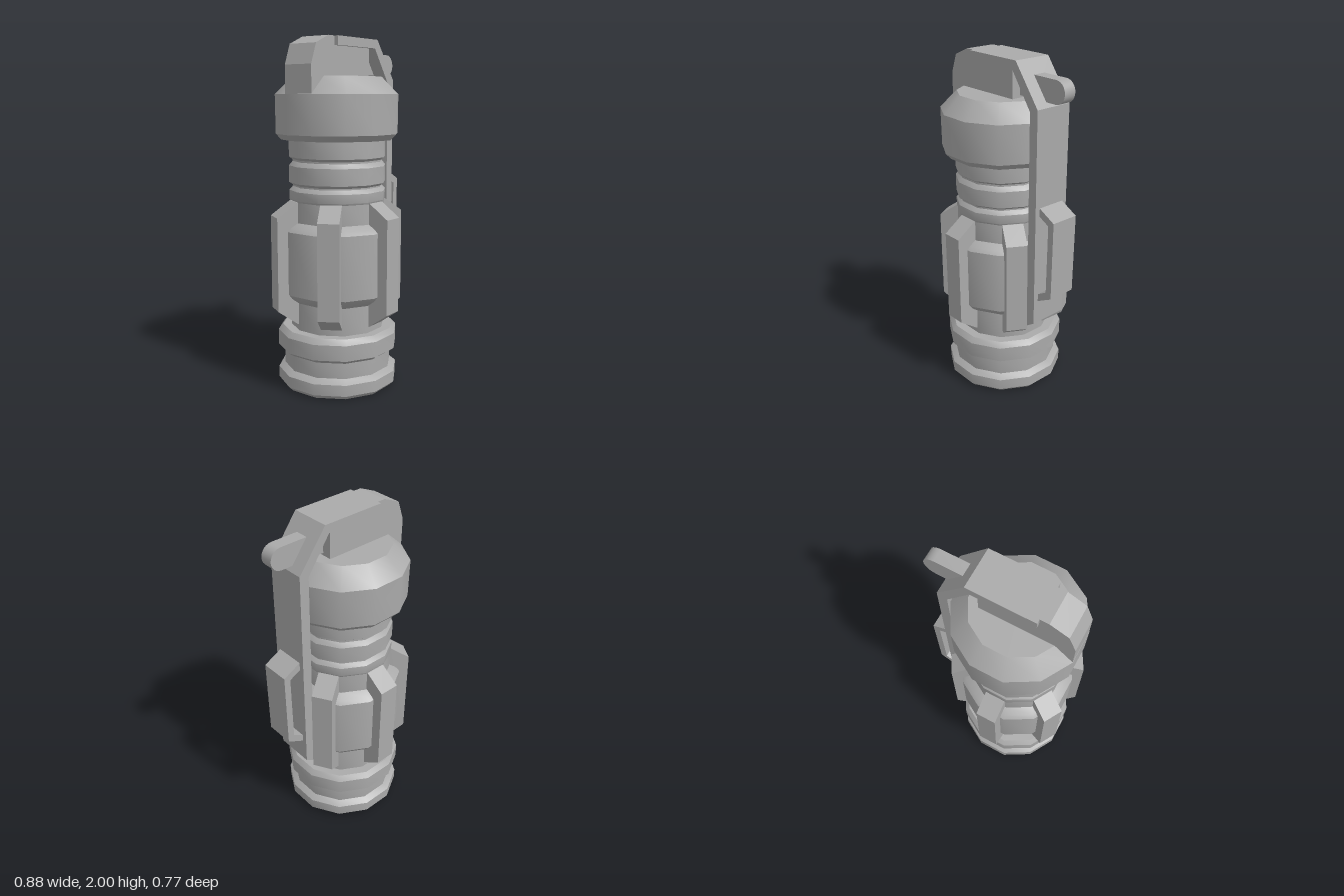
import * as THREE from 'three';
import { toCreasedNormals } from 'three/addons/utils/BufferGeometryUtils.js';

const AXIS_X = -0.075;

export function createModel() {
  const model = new THREE.Group();
  model.name = 'canister';
  const metal = new THREE.MeshStandardMaterial({ color: 0xaaaaaa });
  metal.name = 'grey metal';

  const add = (name, geometry, parent = model) => {
    const mesh = new THREE.Mesh(geometry, metal);
    mesh.name = name;
    parent.add(mesh);
    return mesh;
  };

  // Flat side profile given in x, y and extruded evenly about z = 0
  const plate = (points, width) => {
    const shape = new THREE.Shape(points.map(([x, y]) => new THREE.Vector2(x, y)));
    return new THREE.ExtrudeGeometry(shape, { depth: width, bevelEnabled: false })
      .translate(0, 0, -width / 2);
  };

  // Twelve-sided turned part; profile distances are measured to the flats
  const turned = (name, profile) => {
    const points = profile.map(([a, y]) => new THREE.Vector2(a / Math.cos(Math.PI / 12), y));
    const lathe = new THREE.LatheGeometry(points, 12, Math.PI / 12);
    add(name, toCreasedNormals(lathe, 0.6)).position.x = AXIS_X;
  };

  // Base with two rims
  turned('base', [
    [0, 0], [0.315, 0], [0.34, 0.025], [0.34, 0.09], [0.305, 0.115], [0.305, 0.205],
    [0.34, 0.23], [0.34, 0.32], [0.315, 0.35], [0, 0.35],
  ]);

  // Grip barrel with its wider middle
  turned('barrel', [
    [0.265, 0.34], [0.265, 0.51], [0.305, 0.54], [0.325, 0.567], [0.325, 0.93],
    [0.305, 0.95], [0.265, 0.975], [0.265, 1.1],
  ]);

  // Ringed neck
  turned('neck', [
    [0.265, 1.09], [0.27, 1.1], [0.27, 1.15], [0.25, 1.172], [0.25, 1.18], [0.27, 1.195],
    [0.27, 1.29], [0.25, 1.315], [0.25, 1.325], [0.27, 1.34], [0.27, 1.45],
  ]);

  // Cap
  turned('cap', [
    [0, 1.437], [0.31, 1.437], [0.34, 1.47], [0.342, 1.69], [0.25, 1.786], [0, 1.786],
  ]);

  // Six grip fins around the barrel
  const fins = new THREE.Group();
  fins.name = 'gripFins';
  fins.position.x = AXIS_X;
  model.add(fins);
  const finShape = [[0.2, 0.385], [0.27, 0.385], [0.387, 0.47], [0.387, 1.01], [0.27, 1.092], [0.2, 1.092]];
  const finGeometry = plate(finShape, 0.12);
  for (let i = 0; i < 6; i++) {
    add('gripFin', finGeometry, fins).rotation.y = Math.PI / 6 + i * Math.PI / 3;
  }

  // Hinge block on top of the cap
  add('hingeBlock', plate([
    [-0.416, 1.69], [0.105, 1.69], [0.105, 1.97], [-0.21, 1.97], [-0.22, 2],
    [-0.27, 2], [-0.375, 1.955], [-0.416, 1.845],
  ], 0.182));

  // Bent safety lever with a thicker foot
  add('lever', plate([
    [-0.22, 2], [-0.22, 1.95], [0.132, 1.95], [0.268, 1.755], [0.265, 1.0], [0.22, 0.95],
    [0.22, 0.44], [0.318, 0.508], [0.325, 1.775], [0.157, 2],
  ], 0.23));

  // Belt clip standing off the lever
  add('clip', plate([
    [0.315, 1.232], [0.43, 1.172], [0.422, 0.705], [0.312, 0.645],
    [0.312, 0.69], [0.382, 0.732], [0.39, 1.145], [0.315, 1.183],
  ], 0.17));

  // Round-ended release tab
  const tab = new THREE.Shape();
  tab.moveTo(0.1, 1.8);
  tab.lineTo(0.374, 1.8);
  tab.absarc(0.374, 1.863, 0.063, -Math.PI / 2, Math.PI / 2, false);
  tab.lineTo(0.1, 1.926);
  const tabGeometry = new THREE.ExtrudeGeometry(tab, { depth: 0.074, bevelEnabled: false, curveSegments: 6 })
    .translate(0, 0, -0.037);
  add('releaseTab', toCreasedNormals(tabGeometry, 0.6));

  return model;
}
